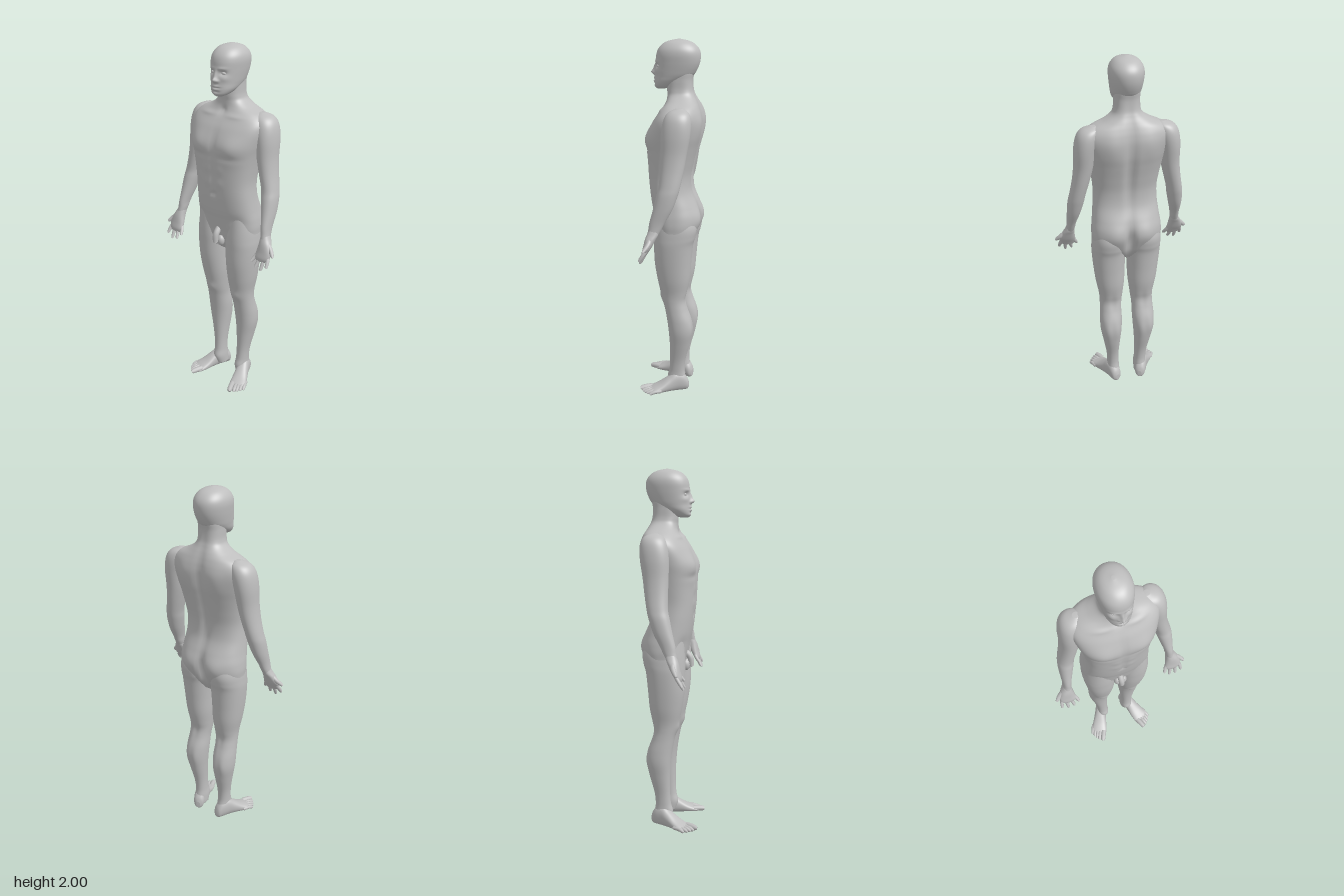
import * as THREE from 'three';

const skin = new THREE.MeshStandardMaterial({ color: 0xbebebe });
skin.name = 'grey skin';

// Catmull-Rom between rows of numbers
function smoothRows(rows, steps) {
  const out = [], last = rows.length - 1;
  const at = i => rows[Math.min(Math.max(i, 0), last)];
  for (let i = 0; i < last; i++) {
    for (let s = 0; s < steps; s++) {
      const t = s / steps;
      out.push(at(i).map((b, k) => {
        const a = at(i - 1)[k], c = at(i + 1)[k], d = at(i + 2)[k];
        return b + 0.5 * t * (c - a + t * (2 * a - 5 * b + 4 * c - d + t * (3 * (b - c) + d - a)));
      }));
    }
  }
  out.push(rows[last]);
  return out;
}

// Skin over rounded sections, listed upwards: [height, centre x, half width, front z, back z].
// Bumps: [x, y, spread x, spread y, depth, side], mirrored in x, side 1 = front, -1 = back.
// With along, the sections run forwards in z and the last two numbers are top and bottom.
function loft(rows, { n = 48, power = 2.3, steps = 8, bumps = [], along = false } = {}) {
  const pos = [], idx = [];
  const put = (u, v, t) => (along ? pos.push(-u, v, t) : pos.push(u, t, v));
  const rings = smoothRows(rows, steps);
  const round = c => Math.sign(c) * Math.abs(c) ** (2 / power);
  for (const [t, cx, hw, front, back] of rings) {
    for (let j = 0; j < n; j++) {
      const a = (j / n) * Math.PI * 2;
      const x = cx + hw * round(Math.cos(a));
      let z = (front + back) / 2 + ((front - back) / 2) * round(Math.sin(a));
      for (const [bx, by, sx, sy, depth, side] of bumps) {
        const w = Math.min(1, Math.max(0, side * Math.sin(a) * 2));
        z += side * depth * w * Math.exp(-(((Math.abs(x) - bx) / sx) ** 2) - ((t - by) / sy) ** 2);
      }
      put(x, z, t);
    }
  }
  for (let i = 0; i < rings.length - 1; i++) {
    for (let j = 0; j < n; j++) {
      const k = (j + 1) % n, a = i * n + j, b = i * n + k;
      idx.push(a, a + n, b, b, a + n, b + n);
    }
  }
  // closed ends
  const top = (rings.length - 1) * n, c0 = rings.length * n;
  for (const r of [rings[0], rings[rings.length - 1]]) put(r[1], (r[3] + r[4]) / 2, r[0]);
  for (let j = 0; j < n; j++) {
    const k = (j + 1) % n;
    idx.push(c0, j, k, c0 + 1, top + k, top + j);
  }
  const g = new THREE.BufferGeometry();
  g.setAttribute('position', new THREE.Float32BufferAttribute(pos, 3));
  g.setIndex(idx);
  g.computeVertexNormals();
  return g;
}

// Tapered finger or toe with a rounded tip
function digit(points, r, taper = 0.25) {
  const curve = new THREE.CatmullRomCurve3(points.map(p => new THREE.Vector3(...p)));
  const g = new THREE.TubeGeometry(curve, 24, r, 12);
  const { position: p, normal: m, uv } = g.attributes;
  for (let i = 0; i < p.count; i++) {
    const u = uv.getX(i);
    const d = r * ((1 - taper * u) * Math.sqrt(Math.max(0, 1 - u ** 10)) - 1);
    p.setXYZ(i, p.getX(i) + m.getX(i) * d, p.getY(i) + m.getY(i) * d, p.getZ(i) + m.getZ(i) * d);
  }
  return g;
}

function mirrored(geometry) {
  const g = geometry.clone();
  const { position, normal } = g.attributes;
  for (let i = 0; i < position.count; i++) {
    position.setX(i, -position.getX(i));
    normal.setX(i, -normal.getX(i));
  }
  const ix = g.index;
  for (let i = 0; i < ix.count; i += 3) {
    const a = ix.getX(i);
    ix.setX(i, ix.getX(i + 1));
    ix.setX(i + 1, a);
  }
  return g;
}

export function createModel() {
  const model = new THREE.Group();
  model.name = 'standing figure';
  const add = (name, geometry) => {
    const mesh = new THREE.Mesh(geometry, skin);
    mesh.name = name;
    model.add(mesh);
  };
  const pair = (name, g) => {
    add('left ' + name, g);
    add('right ' + name, mirrored(g));
  };

  // Torso and neck
  add('torso', loft([
    [0.87, 0, 0.09, 0.04, -0.08], [0.93, 0, 0.178, 0.07, -0.122], [1.0, 0, 0.194, 0.084, -0.148],
    [1.06, 0, 0.193, 0.095, -0.153], [1.12, 0, 0.185, 0.108, -0.14], [1.2, 0, 0.177, 0.119, -0.113],
    [1.28, 0, 0.175, 0.126, -0.11], [1.36, 0, 0.185, 0.13, -0.125], [1.44, 0, 0.2, 0.134, -0.145],
    [1.5, 0, 0.215, 0.128, -0.158], [1.57, 0, 0.23, 0.1, -0.163], [1.615, 0, 0.225, 0.072, -0.158],
    [1.65, 0, 0.19, 0.046, -0.148], [1.68, 0, 0.125, 0.032, -0.136], [1.71, 0, 0.082, 0.028, -0.122],
    [1.74, 0, 0.069, 0.03, -0.112], [1.79, 0, 0.067, 0.03, -0.108], [1.84, 0, 0.066, 0.03, -0.114],
    [1.88, 0, 0.05, 0.03, -0.1],
  ], { n: 112, power: 2.5, bumps: [
    [0.11, 1.49, 0.065, 0.06, 0.013, 1], [0.09, 1.43, 0.075, 0.018, -0.005, 1], // chest
    [0, 1.5, 0.018, 0.08, -0.006, 1], [0, 1.3, 0.014, 0.1, -0.005, 1],
    [0.04, 1.36, 0.025, 0.025, 0.003, 1], [0.04, 1.28, 0.025, 0.025, 0.003, 1], // abdomen
    [0, 1.215, 0.013, 0.014, -0.01, 1], [0.13, 1.06, 0.04, 0.04, -0.006, 1],
    [0.09, 1.64, 0.06, 0.012, 0.006, 1], [0, 1.66, 0.018, 0.02, -0.01, 1], // collar bones
    [0, 1.42, 0.025, 0.24, -0.02, -1], [0.1, 1.56, 0.05, 0.08, 0.009, -1], // back
    [0.085, 1.04, 0.06, 0.07, 0.016, -1], [0, 1.0, 0.02, 0.08, -0.035, -1], // buttocks
  ] }));

  // Head with a sculpted face
  add('head', loft([
    [1.742, 0, 0.02, 0.085, 0.045], [1.755, 0, 0.045, 0.099, 0], [1.78, 0, 0.065, 0.1, -0.05],
    [1.81, 0, 0.075, 0.098, -0.104], [1.84, 0, 0.081, 0.096, -0.127], [1.88, 0, 0.087, 0.093, -0.143],
    [1.92, 0, 0.09, 0.089, -0.147], [1.95, 0, 0.084, 0.078, -0.138], [1.975, 0, 0.067, 0.055, -0.115],
    [1.99, 0, 0.044, 0.025, -0.085], [2.0, 0, 0.008, -0.022, -0.042],
  ], { n: 144, power: 2.15, steps: 10, bumps: [
    [0, 1.828, 0.012, 0.013, 0.018, 1], [0, 1.85, 0.009, 0.024, 0.011, 1], // nose
    [0.015, 1.824, 0.008, 0.008, 0.006, 1], [0.035, 1.864, 0.018, 0.013, -0.012, 1], // eye sockets
    [0.032, 1.886, 0.024, 0.008, 0.004, 1], [0.05, 1.835, 0.018, 0.015, 0.004, 1], // brows, cheeks
    [0, 1.797, 0.02, 0.007, 0.006, 1], [0, 1.789, 0.024, 0.003, -0.005, 1],
    [0, 1.781, 0.018, 0.006, 0.006, 1], [0, 1.768, 0.02, 0.006, -0.005, 1], // lips
  ] }));
  pair('eye', new THREE.SphereGeometry(0.011, 20, 14).scale(1.2, 0.7, 1).translate(0.034, 1.863, 0.071));

  // Arms
  pair('arm', loft([
    [1.0, 0.307, 0.022, 0.084, 0.03], [1.04, 0.3, 0.024, 0.076, 0.008],
    [1.08, 0.296, 0.026, 0.07, -0.012], [1.15, 0.287, 0.036, 0.052, -0.05],
    [1.22, 0.277, 0.043, 0.036, -0.075], [1.27, 0.268, 0.043, 0.025, -0.088],
    [1.35, 0.25, 0.046, 0.022, -0.103], [1.43, 0.236, 0.051, 0.022, -0.115],
    [1.52, 0.228, 0.057, 0.022, -0.13], [1.58, 0.218, 0.06, 0.016, -0.134],
    [1.62, 0.208, 0.056, 0.004, -0.128], [1.645, 0.195, 0.044, -0.016, -0.112],
    [1.66, 0.18, 0.016, -0.05, -0.082],
  ], { power: 2.1 }));

  // Hands: palms face forward, thumbs outward
  pair('palm', loft([
    [0.9, 0.31, 0.03, 0.106, 0.085], [0.92, 0.313, 0.044, 0.107, 0.073],
    [0.95, 0.316, 0.045, 0.1, 0.054], [0.99, 0.312, 0.035, 0.091, 0.034],
    [1.02, 0.305, 0.026, 0.08, 0.02], [1.06, 0.298, 0.016, 0.062, 0.016],
  ], { n: 32 }));
  const fingers = {
    'index finger': [[0.346, 0.935, 0.08], [0.355, 0.908, 0.097], [0.36, 0.877, 0.117]],
    'middle finger': [[0.325, 0.93, 0.083], [0.326, 0.893, 0.1], [0.324, 0.853, 0.12]],
    'ring finger': [[0.303, 0.93, 0.083], [0.296, 0.895, 0.1], [0.287, 0.86, 0.12]],
    'little finger': [[0.282, 0.937, 0.08], [0.269, 0.914, 0.094], [0.257, 0.89, 0.114]],
  };
  for (const name in fingers) pair(name, digit(fingers[name], 0.0115));
  pair('thumb', digit([[0.325, 0.995, 0.06], [0.355, 0.966, 0.07], [0.383, 0.937, 0.09]], 0.0155, 0.35));

  // Legs
  pair('leg', loft([
    [0.03, 0.08, 0.033, 0, -0.095], [0.08, 0.083, 0.036, 0.016, -0.09], [0.13, 0.085, 0.034, 0.005, -0.083],
    [0.2, 0.088, 0.037, 0, -0.09], [0.3, 0.094, 0.05, 0.001, -0.115], [0.38, 0.098, 0.061, 0.006, -0.127],
    [0.45, 0.097, 0.064, 0.015, -0.122], [0.52, 0.095, 0.062, 0.028, -0.1], [0.57, 0.092, 0.064, 0.04, -0.09],
    [0.62, 0.091, 0.069, 0.053, -0.098], [0.7, 0.094, 0.081, 0.07, -0.112], [0.8, 0.098, 0.089, 0.084, -0.12],
    [0.9, 0.1, 0.095, 0.087, -0.13], [0.95, 0.1, 0.095, 0.087, -0.143], [1.01, 0.1, 0.09, 0.084, -0.148],
    [1.1, 0.1, 0.072, 0.078, -0.12],
  ], { n: 56, power: 2.15, bumps: [
    [0.09, 0.585, 0.032, 0.03, 0.009, 1], [0.09, 0.57, 0.02, 0.06, -0.006, -1], // knee
    [0.13, 0.4, 0.022, 0.06, 0.006, -1], [0.07, 0.39, 0.022, 0.06, 0.006, -1], // calf
  ] }));
  pair('ankle bone', new THREE.SphereGeometry(0.014, 16, 12).translate(0.112, 0.09, -0.042));

  // Feet, turned outward
  const place = g => g.rotateY(0.4).translate(0.068, 0, -0.105);
  pair('foot', place(loft([
    [0, 0, 0.012, 0.05, 0.012], [0.012, 0, 0.028, 0.08, 0.002], [0.04, 0, 0.034, 0.112, 0],
    [0.08, 0, 0.035, 0.116, 0], [0.12, 0, 0.039, 0.09, 0], [0.17, 0, 0.046, 0.057, 0],
    [0.21, 0, 0.049, 0.038, 0], [0.235, 0.004, 0.043, 0.028, 0.002], [0.25, 0.01, 0.032, 0.02, 0.006],
  ], { along: true, power: 2.2 })));
  for (let i = 0; i < 5; i++) {
    const r = i ? 0.0125 - i * 0.0005 : 0.0165;
    const u = i ? -0.023 + i * 0.0165 : -0.031;
    const end = 0.282 - i * 0.005 - i * i * 0.0012;
    pair('toe ' + (i + 1), place(digit([[u, 0.023, end - 0.07], [u, 0.021, end - 0.03], [u, r, end]], r, 0.06)));
  }

  // Groin
  add('groin', digit([[0, 1.005, 0.07], [0, 0.97, 0.1], [0, 0.915, 0.108]], 0.018, 0.1));
  pair('groin side', new THREE.SphereGeometry(0.024, 20, 14).scale(0.9, 1.3, 0.9).translate(0.016, 0.93, 0.078));

  return model;
}
